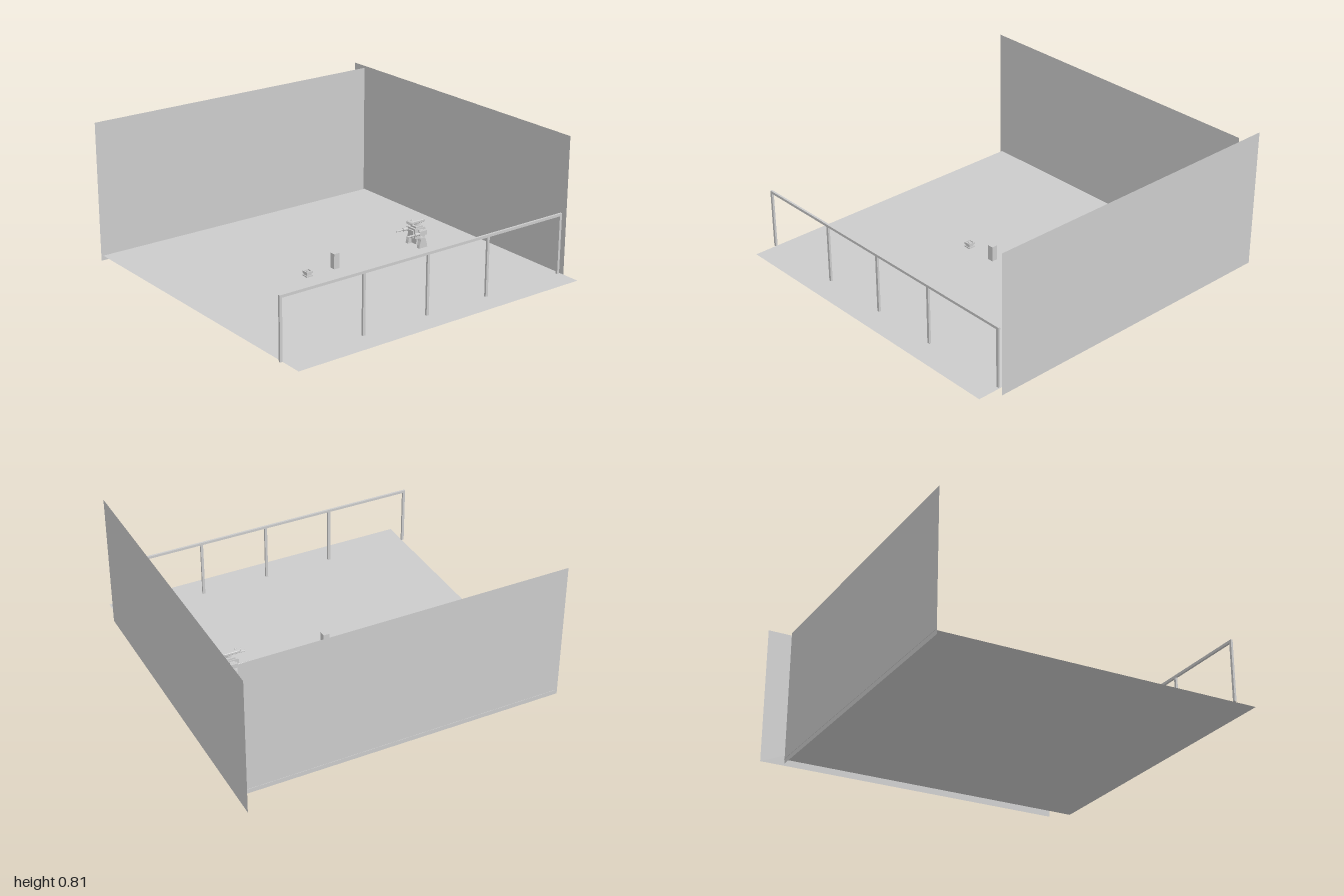
import * as THREE from 'three';

const grey = new THREE.MeshStandardMaterial({ color: 0xcccccc, flatShading: true });
const thin = new THREE.MeshStandardMaterial({ color: 0xcccccc, side: THREE.DoubleSide });

function add(parent, name, geometry, x, y, z, material = grey) {
  const mesh = new THREE.Mesh(geometry, material);
  mesh.name = name;
  mesh.position.set(x, y, z);
  parent.add(mesh);
  return mesh;
}

const box = (parent, name, w, h, d, x, y, z) =>
  add(parent, name, new THREE.BoxGeometry(w, h, d), x, y, z);

// cylinder lying along z, running from z0 to z1
function rod(parent, name, r, z0, z1, x, y, r2 = r) {
  const g = new THREE.CylinderGeometry(r2, r, z1 - z0, 12).rotateX(Math.PI / 2);
  return add(parent, name, g, x, y, (z0 + z1) / 2);
}

const FLOOR = 0.028;
const SPAN = 1.87;

function room() {
  const g = new THREE.Group();
  g.name = 'room';
  add(g, 'floor', new THREE.PlaneGeometry(SPAN, SPAN).rotateX(-Math.PI / 2), 0.065, FLOOR, 0.005, thin);
  add(g, 'backWall', new THREE.PlaneGeometry(SPAN, 0.813), -0.065, 0.4065, -0.953, thin);
  add(g, 'sideWall', new THREE.PlaneGeometry(SPAN + 0.006, 0.813).rotateY(Math.PI / 2), -0.868, 0.4065, 0.015, thin);
  return g;
}

function railing() {
  const g = new THREE.Group();
  g.name = 'railing';
  const x = 0.861;
  box(g, 'topRail', 0.012, 0.015, 1.877, x, 0.373, 0.015);
  for (const z of [0.946, 0.436, 0.019, -0.39, -0.915]) {
    box(g, 'railPost', 0.012, 0.338, 0.015, x, FLOOR + 0.169, z);
  }
  return g;
}

// low stand: two plates on a narrower core, with a raised rim on top
function stand() {
  const g = new THREE.Group();
  g.name = 'stand';
  g.position.set(0.063, FLOOR, 0.197);
  box(g, 'basePlate', 0.042, 0.007, 0.042, 0, 0.0035, 0);
  box(g, 'core', 0.032, 0.018, 0.032, 0, 0.013, 0);
  box(g, 'topPlate', 0.042, 0.006, 0.042, 0, 0.021, 0);
  for (const s of [-1, 1]) {
    box(g, 'rim', 0.006, 0.006, 0.042, s * 0.018, 0.027, 0);
    box(g, 'rim', 0.03, 0.006, 0.006, 0, 0.027, s * 0.018);
  }
  box(g, 'topBlock', 0.014, 0.004, 0.014, 0, 0.026, 0);
  return g;
}

// walking machine with a long flat head, arm guns and broad legs
function walker() {
  const g = new THREE.Group();
  g.name = 'walker';
  g.position.set(0.062, 0, -0.57);

  // torso and neck
  box(g, 'torso', 0.06, 0.06, 0.075, 0, 0.108, -0.007);
  box(g, 'chestPlate', 0.044, 0.045, 0.012, 0, 0.105, 0.034);
  box(g, 'backPack', 0.044, 0.035, 0.014, 0, 0.11, -0.047);
  box(g, 'hips', 0.044, 0.04, 0.04, 0, 0.06, -0.007);
  box(g, 'collar', 0.05, 0.012, 0.05, 0, 0.142, -0.007);
  add(g, 'neck', new THREE.CylinderGeometry(0.014, 0.018, 0.026, 10), 0, 0.158, -0.012);

  // head slab, rounded at the front and back
  const s = new THREE.Shape();
  s.absarc(0.037, 0, 0.021, -Math.PI / 2, Math.PI / 2);
  s.absarc(-0.037, 0, 0.021, Math.PI / 2, Math.PI * 1.5);
  const slab = new THREE.ExtrudeGeometry(s, {
    depth: 0.012, curveSegments: 6, bevelThickness: 0.003, bevelSize: 0.003, bevelSegments: 1,
  });
  slab.rotateX(-Math.PI / 2).rotateY(Math.PI / 2);
  add(g, 'head', slab, 0, 0.169, 0);
  add(g, 'headSensor', new THREE.SphereGeometry(0.007, 8, 6), 0, 0.183, 0.03);
  rod(g, 'eye', 0.005, 0.05, 0.064, 0, 0.174);

  // leg outline seen from the side
  const leg = new THREE.Shape();
  leg.moveTo(-0.03, 0);
  leg.lineTo(0.03, 0);
  leg.lineTo(0.027, 0.018);
  leg.lineTo(0.018, 0.045);
  leg.absarc(0, 0.045, 0.018, 0, Math.PI);
  leg.lineTo(-0.027, 0.018);
  const legGeo = new THREE.ExtrudeGeometry(leg, { depth: 0.022, bevelEnabled: false, curveSegments: 6 });
  legGeo.translate(0, 0, -0.011).rotateY(-Math.PI / 2);

  for (const side of [-1, 1]) {
    const x = side * 0.05;
    add(g, 'leg', legGeo, x, FLOOR, -0.007);
    const joint = new THREE.CylinderGeometry(0.01, 0.01, 0.05, 10).rotateZ(Math.PI / 2);
    add(g, 'hipJoint', joint, side * 0.028, 0.07, -0.007);
    // arm and gun
    box(g, 'shoulder', 0.02, 0.024, 0.03, side * 0.038, 0.118, -0.007);
    box(g, 'armBlock', 0.02, 0.026, 0.052, x, 0.116, -0.008);
    rod(g, 'gunSleeve', 0.009, 0.015, 0.05, side * 0.053, 0.115);
    rod(g, 'gunBarrel', 0.0045, 0.045, side > 0 ? 0.108 : 0.1, side * 0.053, 0.115);
    rod(g, 'muzzle', 0.006, 0.078, 0.092, side * 0.053, 0.115, 0.0045);
  }
  return g;
}

export function createModel() {
  const model = new THREE.Group();
  model.name = 'hangar';
  model.add(room(), railing(), stand(), walker());
  box(model, 'pillar', 0.036, 0.09, 0.036, 0.06, FLOOR + 0.045, 0.008);
  return model;
}
